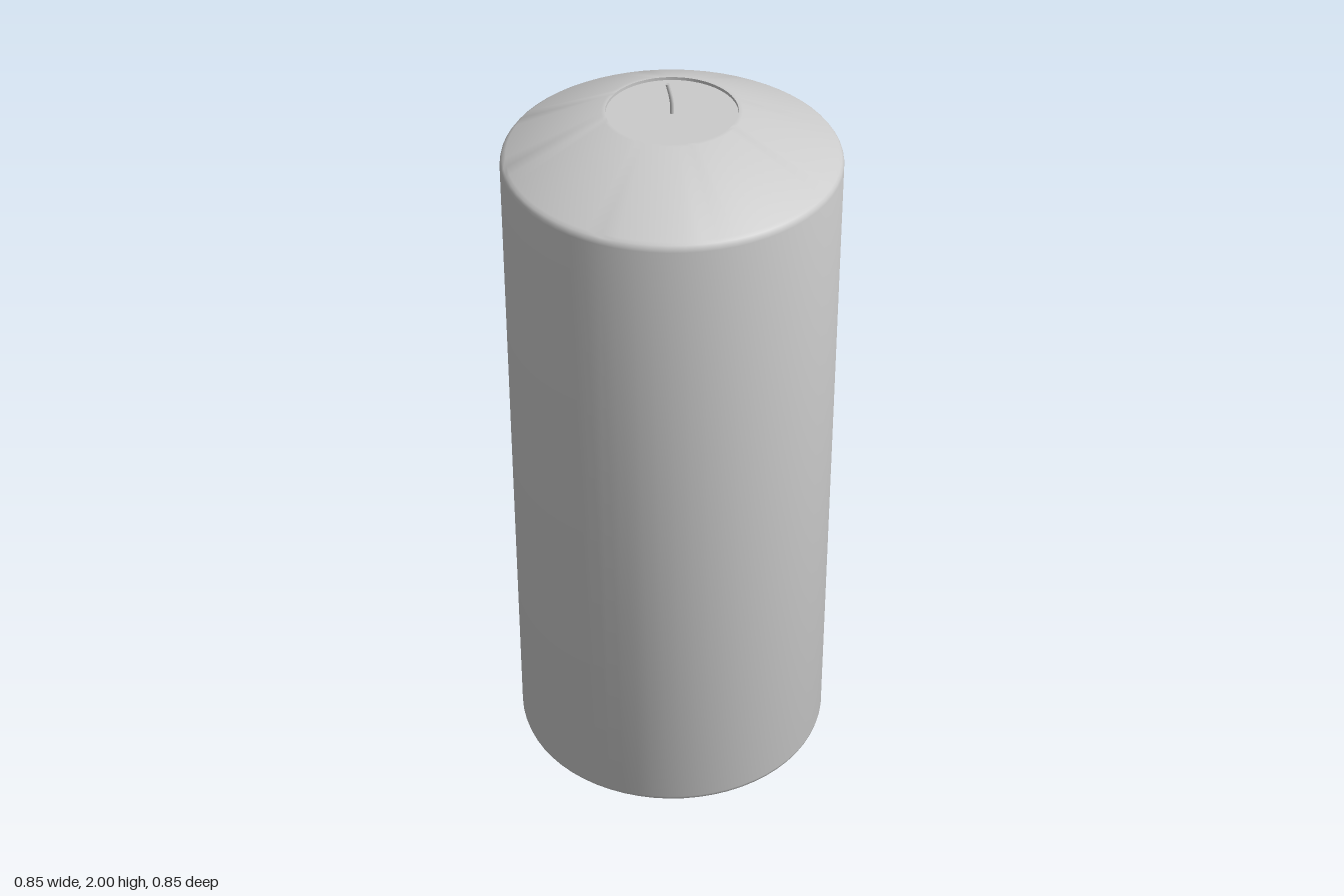
import * as THREE from 'three';
import { toCreasedNormals } from 'three/addons/utils/BufferGeometryUtils.js';

const material = new THREE.MeshStandardMaterial({ color: 0xcccccc });

function addMesh(group, name, geometry) {
  const mesh = new THREE.Mesh(geometry, material);
  mesh.name = name;
  group.add(mesh);
  return mesh;
}

export function createModel() {
  const candle = new THREE.Group();
  candle.name = 'candle';

  // Wax body: softened foot, straight side, rounded shoulder, cone, thin rim and shallow recess
  const profile = [
    [0, 0], [0.405, 0], [0.415, 0.003], [0.422, 0.01], [0.425, 0.02],
    [0.425, 1.787], [0.423, 1.796], [0.418, 1.803], [0.41, 1.808],
    [0.173, 1.925], [0.163, 1.925], [0.163, 1.917], [0, 1.917],
  ].map(([r, y]) => new THREE.Vector2(r, y));
  addMesh(candle, 'waxBody', toCreasedNormals(new THREE.LatheGeometry(profile, 64), 0.6));

  // Wick: thin cord leaning slightly to one side
  const path = new THREE.CatmullRomCurve3([
    new THREE.Vector3(0, 1.91, 0),
    new THREE.Vector3(0, 1.94, 0),
    new THREE.Vector3(-0.003, 1.965, -0.001),
    new THREE.Vector3(-0.01, 1.999, -0.005),
  ]);
  const wickRadius = 0.005;
  addMesh(candle, 'wick', new THREE.TubeGeometry(path, 12, wickRadius, 10));

  // Flat end of the wick, turned along the cord
  const tip = addMesh(candle, 'wickTip', new THREE.CircleGeometry(wickRadius, 10));
  tip.position.copy(path.getPoint(1));
  tip.quaternion.setFromUnitVectors(new THREE.Vector3(0, 0, 1), path.getTangent(1));

  return candle;
}
